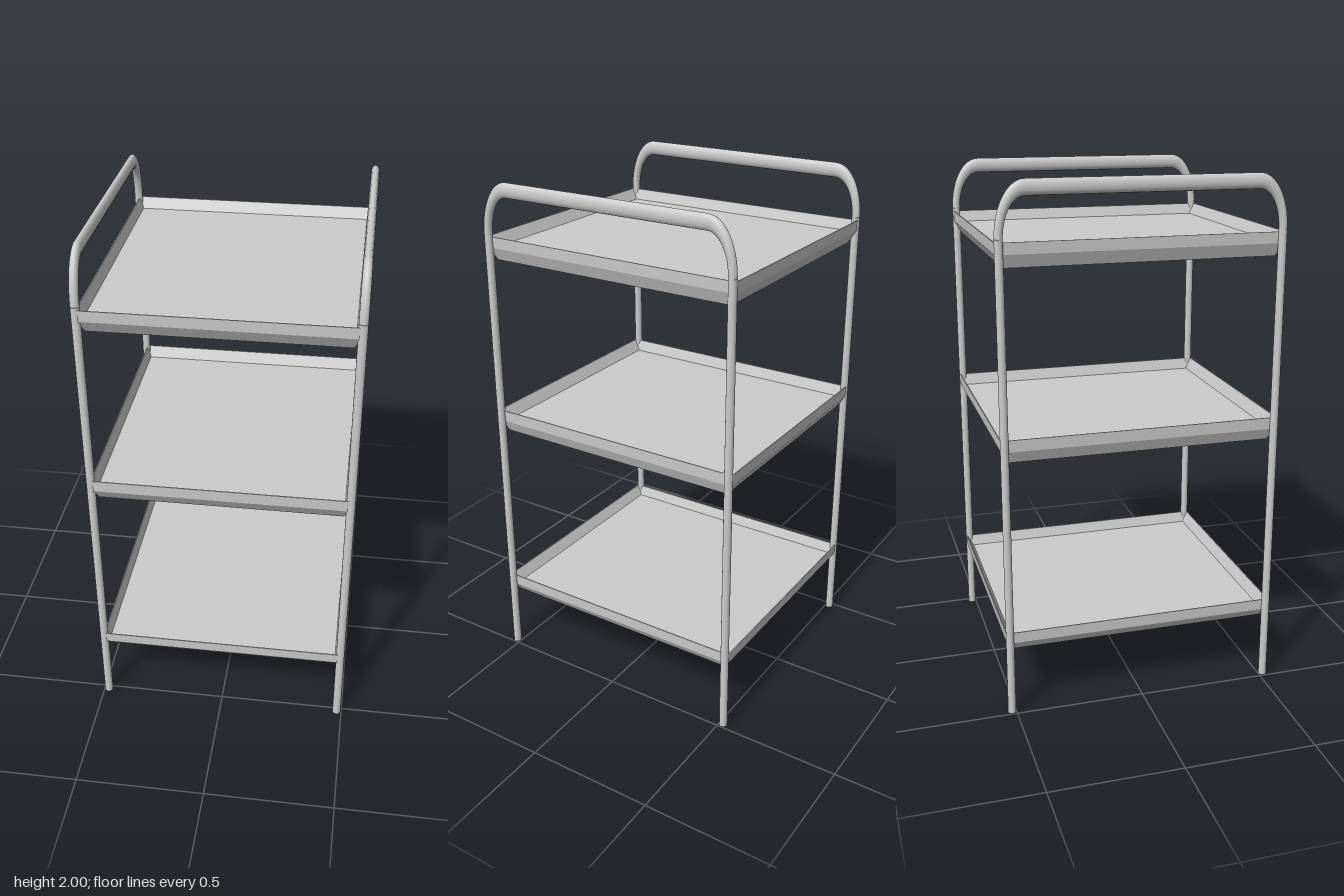
import * as THREE from 'three';

const steel = new THREE.MeshStandardMaterial({ color: 0xcccccc });
const sheet = new THREE.MeshStandardMaterial({ color: 0xcccccc, flatShading: true, side: THREE.DoubleSide });

const POST_X = 0.481, POST_Z = 0.517, R = 0.0155, SHOULDER = 1.8;
const Y_STRETCH = 1.83; // the handle section is taller than it is wide

function add(parent, name, geometry, material) {
  const mesh = new THREE.Mesh(geometry, material);
  mesh.name = name;
  parent.add(mesh);
  return mesh;
}

// Shallow pan built from rectangular loops [halfX, halfZ, y], underside to inner floor
function trayGeometry(bottom, floor, rim) {
  const loops = [
    [0.457, 0.5, bottom],
    [0.476, 0.528, floor],
    [0.478, 0.53, rim],
    [0.474, 0.526, rim],
    [0.46, 0.503, floor],
  ];
  const positions = [], index = [];
  for (const [x, z, y] of loops) positions.push(x, y, z, x, y, -z, -x, y, -z, -x, y, z);
  for (let i = 0; i < loops.length - 1; i++) {
    for (let k = 0; k < 4; k++) {
      const a = i * 4 + k, b = i * 4 + (k + 1) % 4;
      index.push(a, b, b + 4, a, b + 4, a + 4);
    }
  }
  const t = (loops.length - 1) * 4;
  index.push(0, 2, 1, 0, 3, 2, t, t + 1, t + 2, t, t + 2, t + 3);
  const g = new THREE.BufferGeometry();
  g.setAttribute('position', new THREE.Float32BufferAttribute(positions, 3));
  g.setIndex(index);
  const flat = g.toNonIndexed();
  flat.computeVertexNormals();
  return flat;
}

// Handle path over the top, drawn before the vertical stretch
function handleGeometry() {
  const bend = (1.972 - SHOULDER) / Y_STRETCH, inner = POST_Z - bend;
  const v = (y, z) => new THREE.Vector3(0, y, z);
  const path = new THREE.CurvePath();
  const arc = (cz, from, to) => {
    const at = (a) => v(bend * Math.sin(a), cz + bend * Math.cos(a));
    const steps = 12;
    for (let i = 0; i < steps; i++) {
      const step = (to - from) / steps;
      path.add(new THREE.LineCurve3(at(from + i * step), at(from + (i + 1) * step)));
    }
  };
  arc(inner, 0, Math.PI / 2);
  path.add(new THREE.LineCurve3(v(bend, inner), v(bend, -inner)));
  arc(-inner, Math.PI / 2, Math.PI);
  const g = new THREE.TubeGeometry(path, 90, R, 16, false);
  g.scale(1.06, Y_STRETCH, 1);
  g.translate(0, SHOULDER, 0);
  return g;
}

export function createModel() {
  const cart = new THREE.Group();
  cart.name = 'shelfCart';

  // Two side frames, each with two posts joined by a bent handle
  const post = new THREE.CylinderGeometry(R, R, SHOULDER, 16);
  post.scale(1.06, 1, 1);
  post.translate(0, SHOULDER / 2, 0);
  const handle = handleGeometry();
  for (const [side, sx] of [['left', 1], ['right', -1]]) {
    const frame = new THREE.Group();
    frame.name = side + 'Frame';
    frame.position.x = sx * POST_X;
    add(frame, 'frontPost', post, steel).position.z = POST_Z;
    add(frame, 'backPost', post, steel).position.z = -POST_Z;
    add(frame, 'handle', handle, steel);
    cart.add(frame);
  }

  // Three trays: underside, floor and rim heights
  add(cart, 'bottomTray', trayGeometry(0.255, 0.287, 0.33), sheet);
  add(cart, 'middleTray', trayGeometry(1.0, 1.045, 1.09), sheet);
  add(cart, 'topTray', trayGeometry(1.7, 1.748, 1.79), sheet);
  return cart;
}
